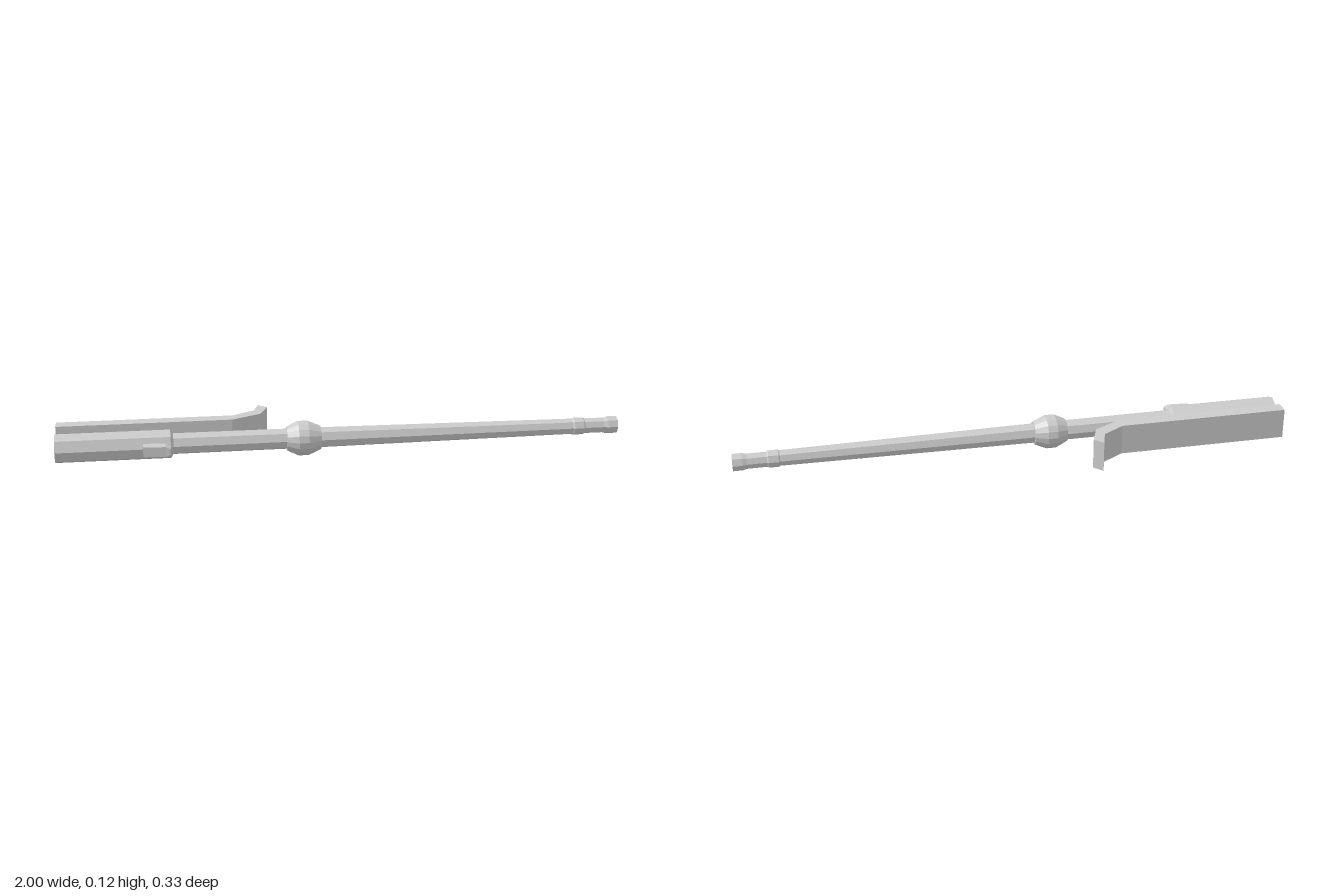
import * as THREE from 'three';

const AXIS_Y = 0.062, AXIS_Z = 0.073;

export function createModel() {
  const group = new THREE.Group();
  const material = new THREE.MeshStandardMaterial({ color: 0xcccccc, flatShading: true });

  const add = (name, geometry) => {
    const mesh = new THREE.Mesh(geometry, material);
    mesh.name = name;
    group.add(mesh);
  };

  // Turned part along x, from [x, radius] pairs
  const turned = (name, profile, sides) => {
    const geometry = new THREE.LatheGeometry(profile.map(([x, r]) => new THREE.Vector2(r, x)), sides);
    geometry.rotateZ(-Math.PI / 2).translate(0, AXIS_Y, AXIS_Z);
    add(name, geometry);
  };

  // Thick closed rear tube
  turned('rearTube', [[-1, 0], [-1, 0.052], [-0.605, 0.052], [-0.595, 0.037], [-0.595, 0]], 8);

  // Tapered barrel with a ring, a flared muzzle and a bore
  turned('barrel', [
    [-0.6, 0], [-0.6, 0.038], [-0.08, 0.037], [0.835, 0.029], [0.84, 0.032], [0.875, 0.032],
    [0.88, 0.028], [0.95, 0.028], [0.965, 0.032], [1, 0.032], [1, 0.022], [0.9, 0.022], [0.9, 0],
  ], 8);

  // Double-coned collar
  turned('collar', [
    [-0.2, 0], [-0.2, 0.042], [-0.16, 0.061], [-0.125, 0.061], [-0.08, 0.042], [-0.08, 0],
  ], 16);

  // Bent plate beside the tube: outline in x and z, extruded upward
  const outline = [
    [-1, 0.001], [-0.385, 0.001], [-0.28, -0.056], [-0.25, -0.134],
    [-0.28, -0.166], [-0.3, -0.1], [-0.38, -0.05], [-1, -0.05],
  ];
  const plate = new THREE.ExtrudeGeometry(
    new THREE.Shape(outline.map(([x, z]) => new THREE.Vector2(x, -z))),
    { depth: 0.111, bevelEnabled: false },
  );
  plate.rotateX(-Math.PI / 2).translate(0, 0.007, 0);
  add('bentPlate', plate);

  // Side lug: box whose three cross-sections are [x, y0, y1, z0, z1]
  const sections = [
    [-0.7, 0.045, 0.08, 0.115, 0.157],
    [-0.623, 0.045, 0.08, 0.12, 0.163],
    [-0.607, 0.052, 0.073, 0.137, 0.166],
  ];
  const lug = new THREE.BoxGeometry(2, 1, 1, 2, 1, 1);
  const p = lug.attributes.position;
  for (let i = 0; i < p.count; i++) {
    const [x, y0, y1, z0, z1] = sections[Math.round(p.getX(i)) + 1];
    p.setXYZ(i, x, p.getY(i) < 0 ? y0 : y1, p.getZ(i) < 0 ? z0 : z1);
  }
  lug.computeVertexNormals();
  add('sideLug', lug);

  return group;
}
